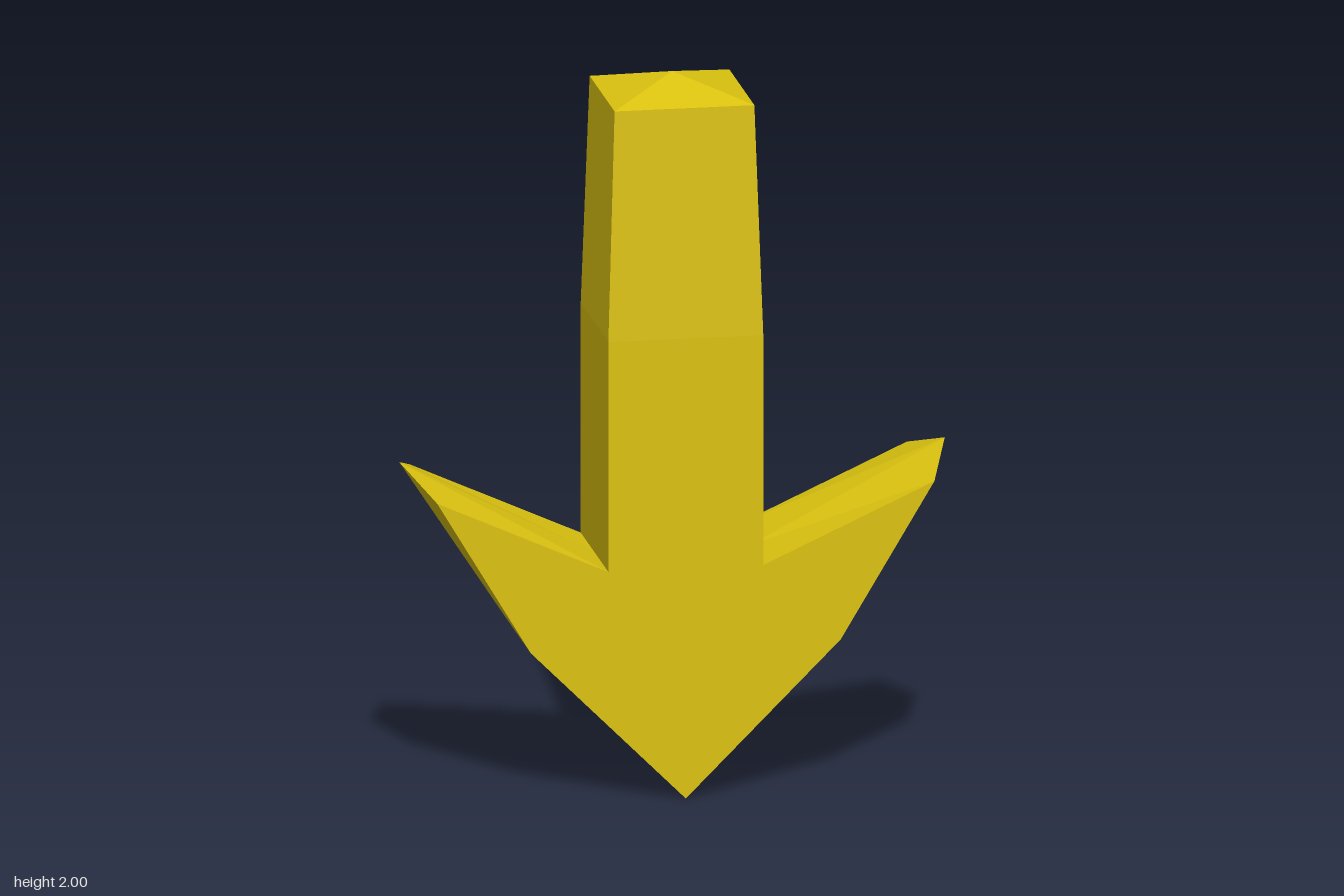
import * as THREE from 'three';

const HALF = 0.215; // half width of the shaft and half depth of the head

// Split shared vertices so every face is shaded flat
function faceted(geometry) {
  const flat = geometry.index ? geometry.toNonIndexed() : geometry;
  flat.computeVertexNormals();
  return flat;
}

// Barbed arrowhead: extruded outline whose barb ends are drawn out to a ridge at mid depth
function headGeometry() {
  const side = [[0.43, 0.43], [0.69, 0.865], [HALF, 0.65]];
  const mirrored = side.map(([x, y]) => [-x, y]).reverse();
  const outline = [[0, 0], ...side, ...mirrored].map(([x, y]) => new THREE.Vector2(x, y));
  const geometry = new THREE.ExtrudeGeometry(new THREE.Shape(outline), {
    depth: 2 * HALF, steps: 2, bevelEnabled: false,
  });
  geometry.translate(0, 0, -HALF);
  const pos = geometry.attributes.position;
  for (let i = 0; i < pos.count; i++) {
    const x = pos.getX(i);
    if (Math.abs(pos.getZ(i)) < 0.01 && Math.abs(x) > 0.6) {
      pos.setXYZ(i, Math.sign(x) * 0.757, 0.93, 0);
    }
  }
  return faceted(geometry);
}

// Square shaft: straight, then slightly tapered, closed by a low pyramid
function shaftGeometry() {
  const levels = [[HALF, 0.65], [HALF, 1.3], [0.194, 1.945], [0, 2]];
  const profile = levels.map(([half, y]) => new THREE.Vector2(half * Math.SQRT2, y));
  return faceted(new THREE.LatheGeometry(profile, 4, Math.PI / 4));
}

export function createModel() {
  const group = new THREE.Group();
  group.name = 'downArrow';
  const yellow = new THREE.MeshStandardMaterial({ color: 0xdcc310 });
  yellow.name = 'mustard yellow';

  const head = new THREE.Mesh(headGeometry(), yellow);
  head.name = 'arrowHead';
  const shaft = new THREE.Mesh(shaftGeometry(), yellow);
  shaft.name = 'shaft';
  group.add(head, shaft);
  return group;
}
